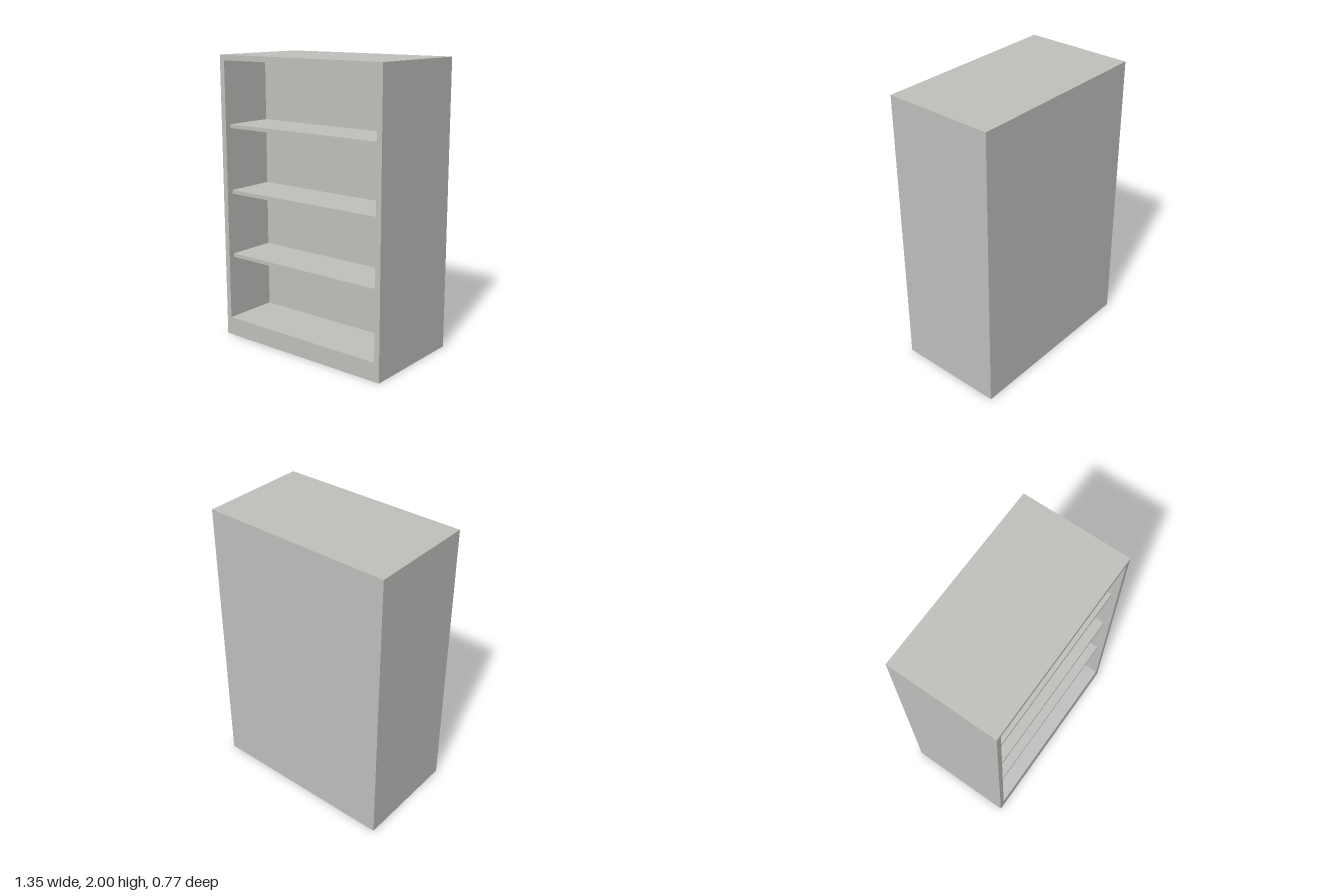
import * as THREE from 'three';

const W = 1.352, H = 2, D = 0.766;           // outer size
const IN_X = 0.637, IN_BOTTOM = 0.13, IN_TOP = 1.963; // opening
const BACK_Z = -0.017;                       // inner face of the deep back
const SHELF_FRONT = 0.34, SHELF_THICK = 0.026;

export function createModel() {
  const group = new THREE.Group();
  const grey = new THREE.MeshStandardMaterial({ color: 0xc0bfbc });
  grey.name = 'warm grey';

  const add = (name, geometry, x, y, z) => {
    const mesh = new THREE.Mesh(geometry, grey);
    mesh.name = name;
    mesh.position.set(x, y, z);
    group.add(mesh);
  };
  const rectangle = (target, x, y0, y1) =>
    target.moveTo(-x, y0).lineTo(x, y0).lineTo(x, y1).lineTo(-x, y1).closePath();

  // Carcass: sides, top and plinth as one frame
  const outline = rectangle(new THREE.Shape(), W / 2, 0, H);
  outline.holes.push(rectangle(new THREE.Path(), IN_X, IN_BOTTOM, IN_TOP));
  add('carcass', new THREE.ExtrudeGeometry(outline, { depth: D, bevelEnabled: false }), 0, 0, -D / 2);

  // Thick back filling the rear of the frame
  const backDepth = BACK_Z + D / 2;
  add('back', new THREE.BoxGeometry(IN_X * 2, IN_TOP - IN_BOTTOM, backDepth),
    0, (IN_TOP + IN_BOTTOM) / 2, BACK_Z - backDepth / 2);

  // Shelves, set back a little from the front edge
  const shelfDepth = SHELF_FRONT - BACK_Z;
  [0.587, 1.05, 1.513].forEach((y, i) => {
    add(`shelf${i + 1}`, new THREE.BoxGeometry(IN_X * 2, SHELF_THICK, shelfDepth),
      0, y, BACK_Z + shelfDepth / 2);
  });

  return group;
}
